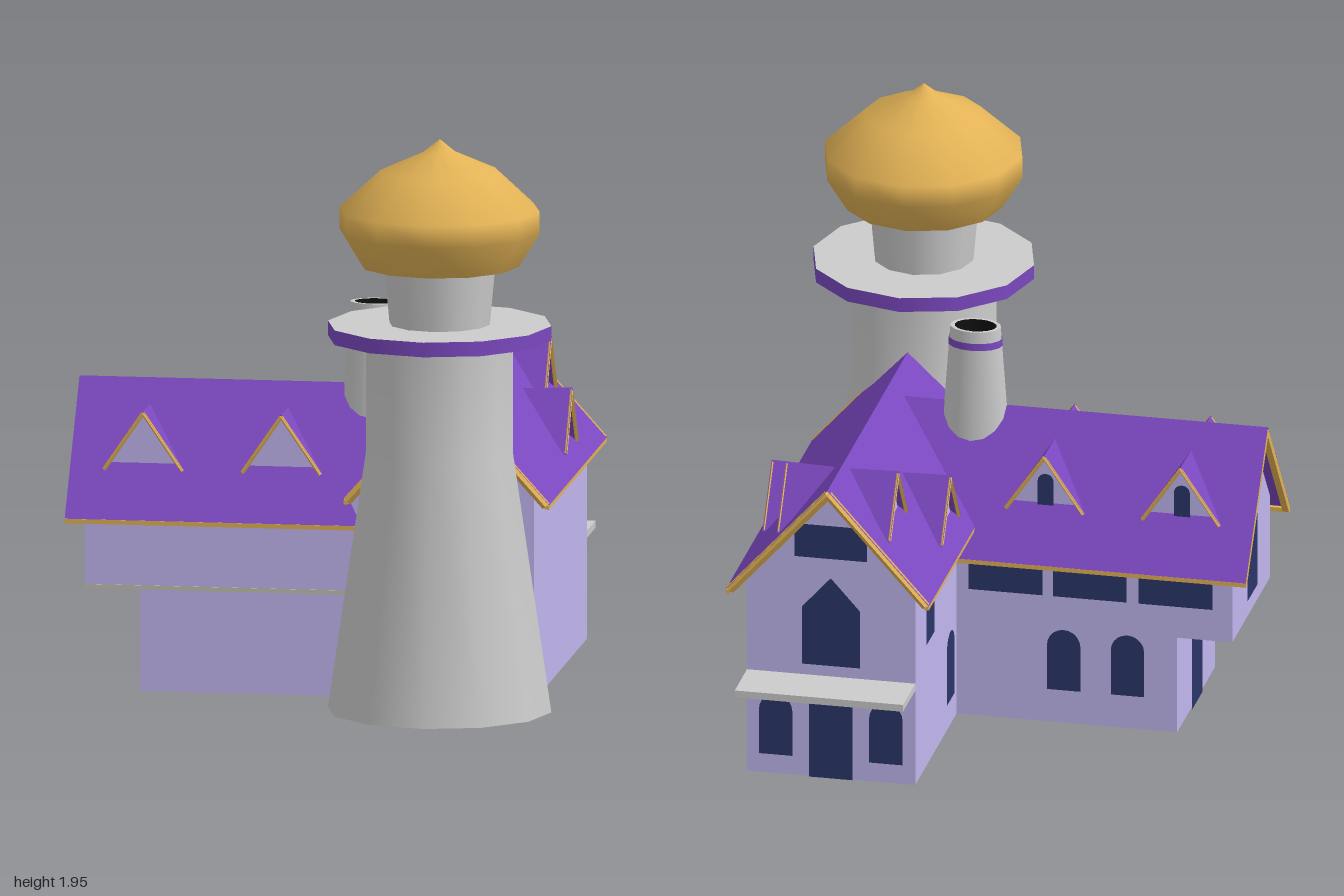
import * as THREE from 'three';

const mat = (color) => new THREE.MeshStandardMaterial({ color, side: THREE.DoubleSide });
const grey = mat(0xcccccc), purple = mat(0x7b48c0), lilac = mat(0xc2b7f0);
const gold = mat(0xe2b255), navy = mat(0x2a3568), black = mat(0x101010);

export function createModel() {
  const root = new THREE.Group();
  const add = (name, geometry, material, parent = root) => {
    const m = new THREE.Mesh(geometry, material);
    m.name = name;
    parent.add(m);
    return m;
  };
  // Flat convex panel through the given corners
  const panel = (name, pts, material, parent) => {
    const v = [];
    for (let i = 1; i < pts.length - 1; i++) v.push(...pts[0], ...pts[i], ...pts[i + 1]);
    const g = new THREE.BufferGeometry();
    g.setAttribute('position', new THREE.Float32BufferAttribute(v, 3));
    g.computeVertexNormals();
    return add(name, g, material, parent);
  };
  // Square bar between two points
  const bar = (name, a, b, t, material, parent) => {
    const A = new THREE.Vector3(...a), B = new THREE.Vector3(...b);
    const m = add(name, new THREE.BoxGeometry(t, t, A.distanceTo(B)), material, parent);
    m.position.copy(A).lerp(B, 0.5);
    m.quaternion.setFromUnitVectors(new THREE.Vector3(0, 0, 1), B.sub(A).normalize());
    return m;
  };
  const BACK = Math.PI, LEFT = Math.PI / 2, RIGHT = -Math.PI / 2; // facing -z, +x, -x

  // Round tower with gallery, neck and onion dome
  const tower = new THREE.Group();
  tower.name = 'tower';
  tower.position.set(0.46, 0, 0.62);
  root.add(tower);
  const lathe = (name, pts, material) =>
    add(name, new THREE.LatheGeometry(pts.map((p) => new THREE.Vector2(...p)), 12), material, tower);
  lathe('towerShaft', [[0.38, 0], [0.25, 0.88], [0.25, 1.28]], grey);
  const gallery = add('towerGallery', new THREE.CylinderGeometry(0.38, 0.38, 0.05, 12), [purple, grey, grey], tower);
  gallery.position.y = 1.295;
  lathe('towerNeck', [[0.17, 1.31], [0.19, 1.53]], grey);
  lathe('domeUnderside', [[0, 1.522], [0.27, 1.522]], gold);
  lathe('dome', [[0.27, 1.52], [0.34, 1.635], [0.34, 1.71], [0.2, 1.84], [0.055, 1.905], [0, 1.95]], gold);

  // Walls: an L-shaped shell, open underneath
  const X0 = 0.17, X1 = 0.75, ZB = -0.81, ZF = 0.41, ZW = -0.17;
  panel('mainSideWall', [[X1, 0, ZF], [X1, 0, ZB], [X1, 0.73, ZB], [X1, 0.73, ZF]], lilac);
  panel('mainInnerWall', [[X0, 0, ZB], [X0, 0, ZW], [X0, 0.73, ZW], [X0, 0.73, ZB]], lilac);
  for (const z of [ZB, ZF])
    panel('mainGable', [[X0, 0, z], [X1, 0, z], [X1, 0.73, z], [0.46, 1.06, z], [X0, 0.73, z]], lilac);
  for (const z of [ZW, ZF]) {
    panel('wingLowerWall', [[-0.59, 0, z], [X0, 0, z], [X0, 0.345, z], [-0.59, 0.345, z]], lilac);
    panel('wingUpperWall', [[-0.78, 0.345, z], [X0, 0.345, z], [X0, 0.645, z], [-0.78, 0.645, z]], lilac);
  }
  const trim = add('wingTrim', new THREE.BoxGeometry(0.95, 0.014, 0.006), mat(0xc4bfae));
  trim.position.set(-0.305, 0.354, ZF);
  panel('wingLowerEnd', [[-0.59, 0, ZW], [-0.59, 0, ZF], [-0.59, 0.345, ZF], [-0.59, 0.345, ZW]], lilac);
  panel('wingGable', [[-0.78, 0.345, ZW], [-0.78, 0.345, ZF], [-0.78, 0.645, ZF], [-0.78, 1.01, 0.115], [-0.78, 0.645, ZW]], lilac);
  panel('wingOverhang', [[-0.78, 0.345, ZW], [-0.59, 0.345, ZW], [-0.59, 0.345, ZF], [-0.78, 0.345, ZF]], grey);

  // Main roof with gold eaves and gable edges
  for (const s of [-1, 1]) {
    const x = 0.46 + s * 0.35;
    panel('mainRoof', [[0.46, 1.07, -0.87], [0.46, 1.07, 0.47], [x, 0.68, 0.47], [x, 0.68, -0.87]], purple);
    bar('mainEave', [x - s * 0.008, 0.673, -0.87], [x - s * 0.008, 0.673, 0.47], 0.015, gold);
    for (const z of [-0.859, 0.459])
      bar('mainGableEdge', [0.46, 1.052, z], [x - s * 0.012, 0.676, z], 0.022, gold);
  }
  // Wing roof, cut along the valleys where it meets the main roof
  for (const s of [-1, 1]) {
    const z0 = 0.113, z = z0 + s * 0.343;
    panel('wingRoof', [[-0.84, 1.02, z0], [0.417, 1.02, z0], [0.115, 0.675, z0 + s * 0.275], [0.17, 0.59, z], [-0.84, 0.59, z]], purple);
    bar('wingEave', [-0.84, 0.582, z - s * 0.008], [0.17, 0.582, z - s * 0.008], 0.015, gold);
    bar('wingGableEdge', [-0.829, 1.002, z0], [-0.829, 0.586, z - s * 0.012], 0.022, gold);
  }

  // Windows and doors: 'rect', 'arch' or 'point' tops, standing on y
  const opening = (name, kind, w, h, [x, y, z], turn, parent = root) => {
    const s = new THREE.Shape(), r = w / 2;
    s.moveTo(-r, 0).lineTo(r, 0);
    if (kind === 'rect') s.lineTo(r, h).lineTo(-r, h);
    if (kind === 'arch') s.lineTo(r, h - r).absarc(0, h - r, r, 0, Math.PI);
    if (kind === 'point') s.lineTo(r, h * 0.65).lineTo(0, h).lineTo(-r, h * 0.65);
    const m = add(name, new THREE.ShapeGeometry(s, 5), navy, parent);
    m.position.set(x, y, z);
    m.rotation.y = turn;
  };
  const zb = ZB - 0.006, zw = ZW - 0.006;
  opening('gableWindow', 'rect', 0.25, 0.12, [0.46, 0.8, zb], BACK);
  opening('pointedWindow', 'point', 0.2, 0.32, [0.46, 0.41, zb], BACK);
  opening('backDoor', 'rect', 0.15, 0.3, [0.46, 0, zb], BACK);
  for (const s of [-1, 1]) opening('backWindow', 'arch', 0.115, 0.22, [0.46 + s * 0.19, 0.07, zb], BACK);
  opening('sideWindow', 'arch', 0.12, 0.25, [X0 - 0.006, 0.45, -0.6], RIGHT);
  opening('sideWindow', 'arch', 0.12, 0.25, [X0 - 0.006, 0.1, -0.29], RIGHT);
  for (const x of [0, -0.29, -0.585]) opening('wingUpperWindow', 'rect', 0.255, 0.16, [x, 0.46, zw], BACK);
  for (const x of [-0.2, -0.42]) opening('wingLowerWindow', 'arch', 0.115, 0.22, [x, 0.12, zw], BACK);
  opening('wingGableWindow', 'arch', 0.16, 0.38, [-0.786, 0.41, 0.115], RIGHT);
  opening('wingDoor', 'rect', 0.16, 0.27, [-0.596, 0, 0.115], RIGHT);

  // Tent-shaped dormers, built facing +z with the foot of the face at the origin
  const dormer = (x, y, z, turn, glazed) => {
    const g = new THREE.Group();
    g.name = 'dormer';
    g.position.set(x, y, z);
    g.rotation.y = turn;
    root.add(g);
    for (const s of [-1, 1]) {
      panel('dormerRoof', [[0, 0.205, 0], [0, 0.2, -0.17], [s * 0.14, 0, -0.012], [s * 0.14, 0, 0]], purple, g);
      bar('dormerEdge', [0, 0.197, -0.005], [s * 0.133, 0.002, -0.005], 0.01, gold, g);
    }
    panel('dormerFace', [[-0.13, 0, -0.03], [0.13, 0, -0.03], [0, 0.195, -0.03]], lilac, g);
    if (glazed) opening('dormerWindow', 'arch', 0.055, 0.12, [0, 0.01, -0.025], 0, g);
  };
  for (const x of [-0.59, -0.12]) {
    dormer(x, 0.74, 0.348, 0, false);
    dormer(x, 0.74, -0.122, BACK, true);
  }
  for (const [off, y, z] of [[0.31, 0.735, -0.34], [0.195, 0.86, -0.635]]) {
    dormer(0.46 + off, y, z, LEFT, false);
    dormer(0.46 - off, y, z, RIGHT, true);
  }

  // Oval chimney straddling the wing ridge
  const chimney = new THREE.Group();
  chimney.name = 'chimney';
  chimney.position.set(0.168, 0, 0.113);
  chimney.scale.z = 0.74;
  root.add(chimney);
  const ring = (name, top, bottom, y0, y1, material) => {
    add(name, new THREE.CylinderGeometry(top, bottom, y1 - y0, 16, 1, true), material, chimney).position.y = (y0 + y1) / 2;
  };
  ring('chimneyShaft', 0.087, 0.118, 0.88, 1.3, grey);
  ring('chimneyBand', 0.092, 0.094, 1.235, 1.26, purple);
  ring('chimneyFlue', 0.072, 0.072, 1.2, 1.3, black);
  const rim = add('chimneyRim', new THREE.RingGeometry(0.072, 0.087, 16), grey, chimney);
  const soot = add('chimneySoot', new THREE.CircleGeometry(0.074, 16), black, chimney);
  rim.position.y = 1.3;
  soot.position.y = 1.21;
  rim.rotation.x = soot.rotation.x = -Math.PI / 2;

  // Canopy over the back door
  const canopy = add('canopy', new THREE.BoxGeometry(0.58, 0.025, 0.19), grey);
  canopy.position.set(0.46, 0.357, -0.905);
  return root;
}
